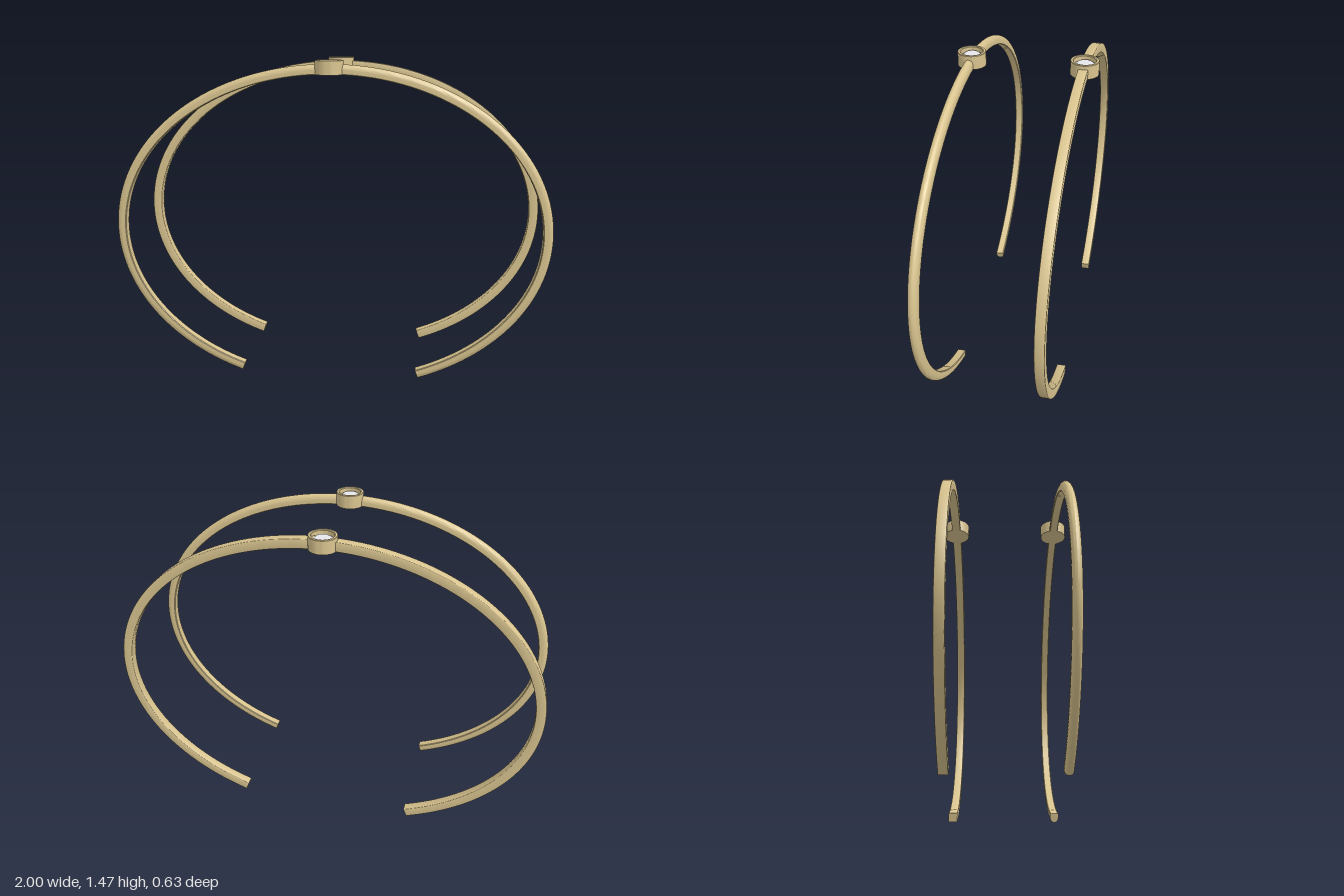
import * as THREE from 'three';
import { toCreasedNormals } from 'three/addons/utils/BufferGeometryUtils.js';

const gold = new THREE.MeshStandardMaterial({ color: 0xd9c48f });
const crystal = new THREE.MeshStandardMaterial({ color: 0xe6e6ea });
const RX = 1, RY = 0.76, CY = 0.69;   // outer ellipse of the cuff
const END = THREE.MathUtils.degToRad(65.2);

// Sweep a convex section ([z, outward offset], counter-clockwise) along the open ellipse
function bandGeometry(section, steps = 160) {
  const pos = [], idx = [], m = section.length;
  for (let i = 0; i <= steps; i++) {
    const a = -END + (Math.PI + 2 * END) * i / steps;
    const c = Math.cos(a), s = Math.sin(a);
    const n = new THREE.Vector2(c / RX, s / RY).normalize();
    for (const [z, d] of section) pos.push(RX * c + n.x * d, CY + RY * s + n.y * d, z);
  }
  for (let i = 0; i < steps; i++) {
    for (let j = 0; j < m; j++) {
      const a = i * m + j, b = i * m + (j + 1) % m;
      idx.push(a, b, b + m, a, b + m, a + m);
    }
  }
  // end caps
  const e = steps * m;
  for (let j = 1; j < m - 1; j++) idx.push(0, j + 1, j, e, e + j, e + j + 1);
  const g = new THREE.BufferGeometry();
  g.setAttribute('position', new THREE.Float32BufferAttribute(pos, 3));
  g.setIndex(idx);
  return toCreasedNormals(g, 0.55);
}

// Flat inside, domed outside
function domedSection(w = 0.0205, depth = 0.045, dome = 0.026) {
  const pts = [[-w + 0.003, -depth], [w - 0.003, -depth], [w, -depth + 0.003]];
  for (let k = 0; k <= 14; k++) {
    const a = Math.PI * k / 14;
    pts.push([w * Math.cos(a), -dome + dome * Math.sin(a)]);
  }
  pts.push([-w, -depth + 0.003]);
  return pts;
}

// Rectangle with small rounded corners
function flatSection(w = 0.0215, depth = 0.045, r = 0.004) {
  const pts = [];
  const corners = [[w - r, -r], [-w + r, -r], [-w + r, -depth + r], [w - r, -depth + r]];
  corners.forEach(([x, y], q) => {
    for (let k = 0; k <= 3; k++) {
      const a = Math.PI / 2 * (q + k / 3);
      pts.push([x + r * Math.cos(a), y + r * Math.sin(a)]);
    }
  });
  return pts;
}

const lathe = (pts, seg) =>
  new THREE.LatheGeometry(pts.map(([x, y]) => new THREE.Vector2(x, y)), seg);

function add(parent, name, geometry, material) {
  const mesh = new THREE.Mesh(geometry, material);
  mesh.name = name;
  parent.add(mesh);
  return mesh;
}

function makeCuff(name, section, z) {
  const cuff = new THREE.Group();
  cuff.name = name;
  add(cuff, 'band', bandGeometry(section), gold);

  // round cup with a closed floor and an open recess
  const cup = lathe([[0, 0], [0.063, 0], [0.063, 0.061], [0.061, 0.063],
    [0.052, 0.063], [0.049, 0.06], [0.049, 0.03], [0, 0.03]], 48);
  add(cuff, 'bezel', toCreasedNormals(cup, 0.6), gold).position.y = 1.404;

  // faceted stone: girdle, crown and table
  const gem = toCreasedNormals(lathe([[0.049, 0.03], [0.049, 0.04], [0.03, 0.053], [0, 0.053]], 16), 0.1);
  add(cuff, 'stone', gem, crystal).position.y = 1.404;

  cuff.position.z = z;
  return cuff;
}

export function createModel() {
  const model = new THREE.Group();
  model.name = 'cuffBracelets';
  model.add(makeCuff('domedCuff', domedSection(), 0.252));
  model.add(makeCuff('flatCuff', flatSection(), -0.252));
  return model;
}
